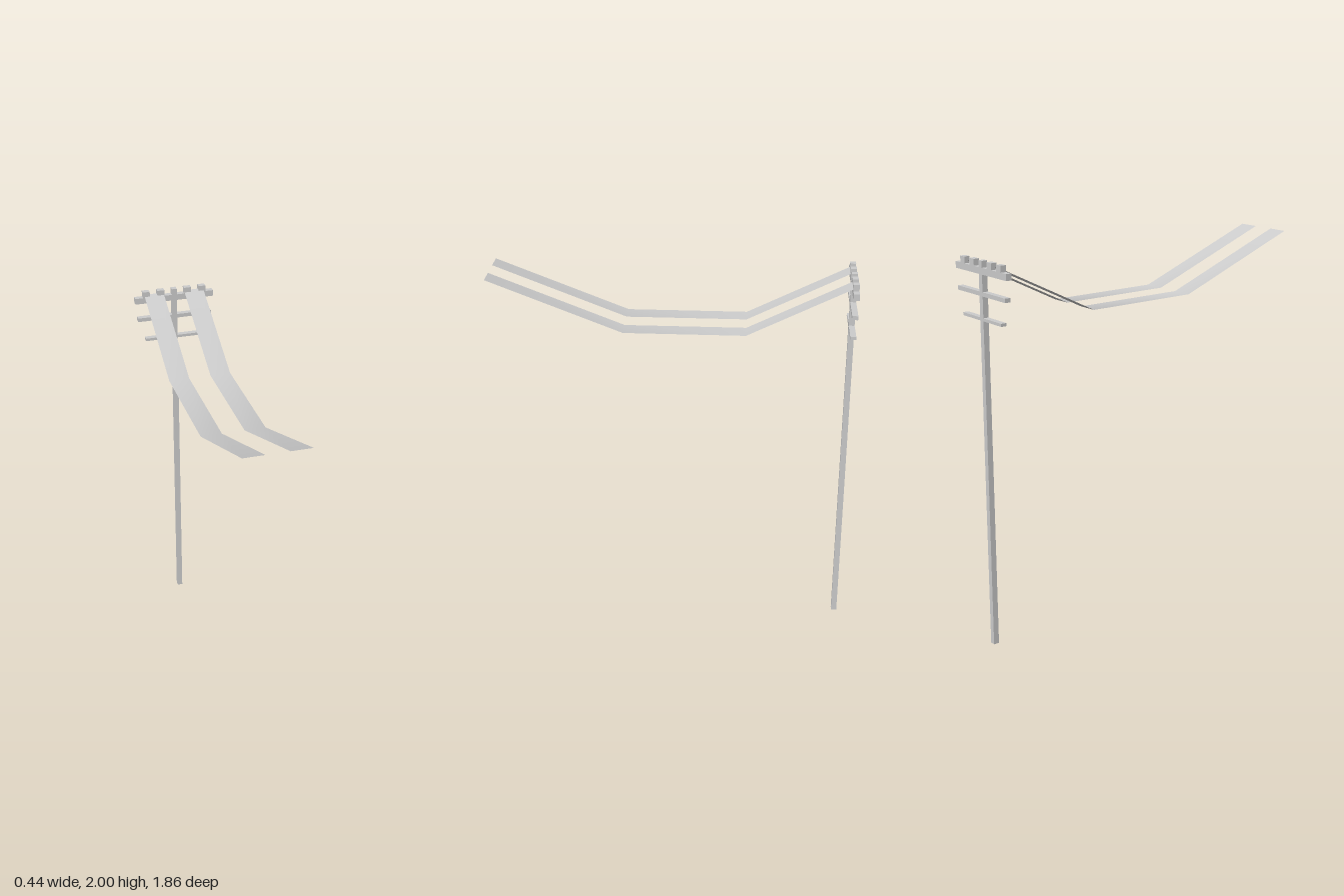
import * as THREE from 'three';

const material = new THREE.MeshStandardMaterial({ color: 0xcccccc });
const stripMaterial = new THREE.MeshStandardMaterial({ color: 0xcccccc, side: THREE.DoubleSide });
const POLE_Z = -0.915;
const DEPTH = 0.03;

// Box centred on the pole's depth, from its x centre, width and y range
function addBox(parent, name, x, width, bottom, top) {
  const mesh = new THREE.Mesh(new THREE.BoxGeometry(width, top - bottom, DEPTH), material);
  mesh.name = name;
  mesh.position.set(x, (bottom + top) / 2, POLE_Z);
  parent.add(mesh);
}

export function createModel() {
  const group = new THREE.Group();
  group.name = 'utilityPole';

  addBox(group, 'pole', 0, 0.028, 0, 2);

  // Three crossarms, shorter and thinner towards the bottom
  addBox(group, 'upperCrossarm', 0, 0.442, 1.934, 1.967);
  addBox(group, 'middleCrossarm', 0, 0.416, 1.828, 1.849);
  addBox(group, 'lowerCrossarm', 0, 0.336, 1.707, 1.722);

  // Sagging cable strips: [z, y] of each bend
  const sag = [[POLE_Z, 1.98], [-0.38, 1.715], [0.24, 1.715], [0.93, 1.98]];

  for (const side of [-1, 1]) {
    // Insulator blocks standing on the upper crossarm
    addBox(group, 'outerInsulator', side * 0.158, 0.038, 1.967, 2);
    addBox(group, 'innerInsulator', side * 0.076, 0.04, 1.967, 2);

    const strip = new THREE.PlaneGeometry(0.109, 1, 1, sag.length - 1);
    strip.rotateX(-Math.PI / 2);
    const position = strip.attributes.position;
    for (let i = 0; i < position.count; i++) {
      const [z, y] = sag[Math.floor(i / 2)];
      position.setY(i, y);
      position.setZ(i, z);
    }
    strip.computeVertexNormals();
    const mesh = new THREE.Mesh(strip, stripMaterial);
    mesh.name = side < 0 ? 'rightCableStrip' : 'leftCableStrip';
    mesh.position.x = side * 0.113;
    group.add(mesh);
  }

  return group;
}
